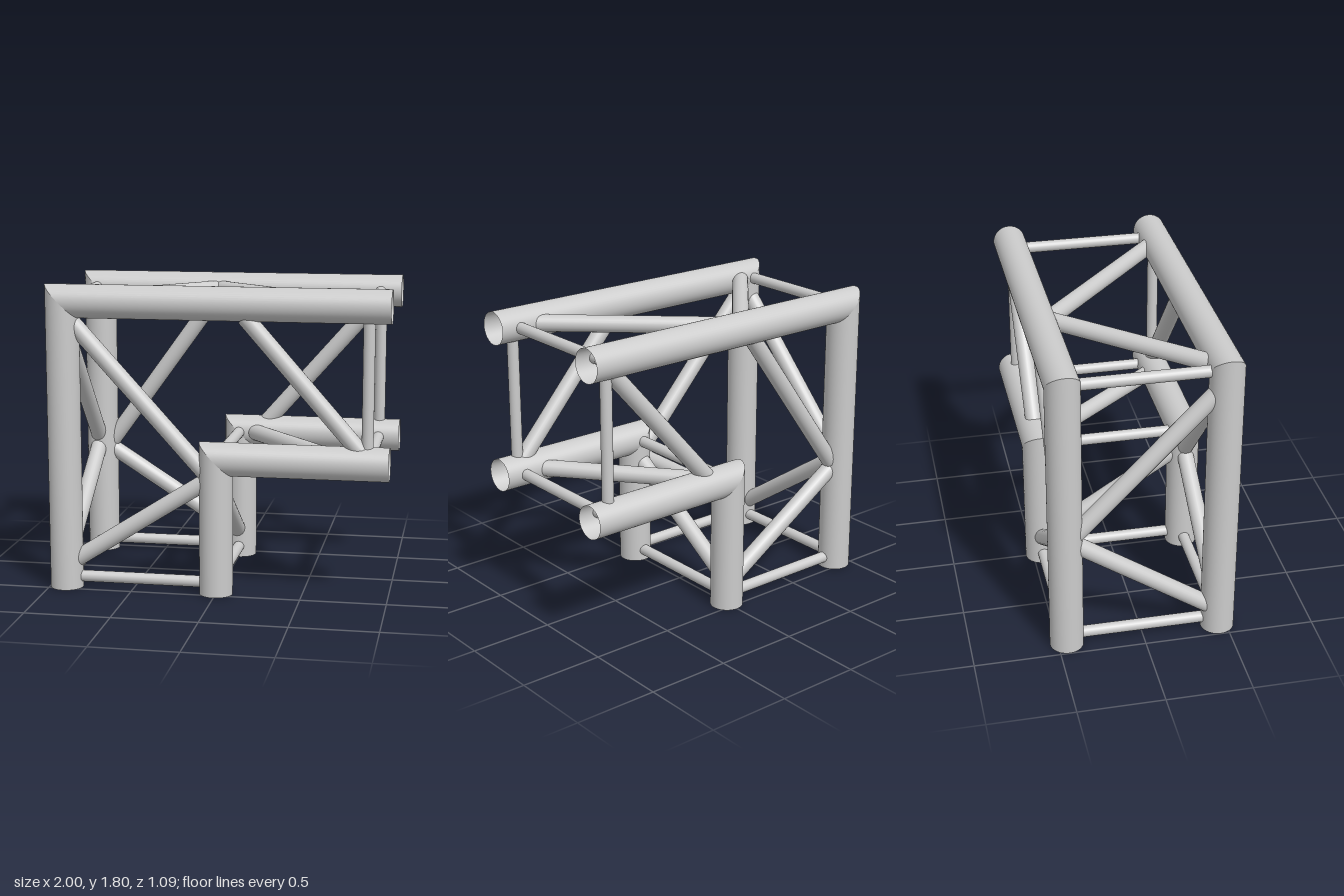
import * as THREE from 'three';

const R = 0.098, THIN = 0.034, THICK = 0.05; // chord, strut and diagonal radii
const Z = 0.448;                             // chord planes at +Z and -Z
const OUT = { x: -0.9, y: 1.704 }, INN = { x: 0, y: 0.806 }; // mitred corners
const END = 0.873, FOOT = 0.068;             // strut positions near the open ends

export function createModel() {
  const model = new THREE.Group();
  model.name = 'trussCorner';
  const mat = new THREE.MeshStandardMaterial({ color: 0xcccccc, side: THREE.DoubleSide });

  const add = (name, geo, parent = model) => {
    const mesh = new THREE.Mesh(geo, mat);
    mesh.name = name;
    parent.add(mesh);
    return mesh;
  };

  // Open pipe from y = 0 up to a 45 degree cut at y = length
  const mitredPipe = (length, slope) => {
    const geo = new THREE.CylinderGeometry(R, R, length, 48, 1, true).translate(0, length / 2, 0);
    const p = geo.attributes.position;
    for (let i = 0; i < p.count; i++) {
      if (p.getY(i) > length / 2) p.setY(i, length + slope * p.getX(i));
    }
    return geo;
  };

  // Two pipes meeting in a mitred elbow
  const elbow = (name, { x, y }, z) => {
    const g = new THREE.Group();
    g.name = name;
    g.position.z = z;
    add('uprightPipe', mitredPipe(y, -1), g).position.x = x;
    const level = add('levelPipe', mitredPipe(1 - x, 1), g);
    level.rotation.z = Math.PI / 2;
    level.position.set(1, y, 0);
    model.add(g);
  };

  // Round brace between two chord surfaces, running a little way into each
  const brace = (name, a, b, r) => {
    const p = new THREE.Vector3(...a), q = new THREE.Vector3(...b);
    const dir = q.clone().sub(p);
    const geo = new THREE.CylinderGeometry(r, r, dir.length() + 0.08, 24, 1, true);
    const mesh = add(name, geo);
    mesh.position.copy(p).add(q).multiplyScalar(0.5);
    mesh.quaternion.setFromUnitVectors(new THREE.Vector3(0, 1, 0), dir.normalize());
  };

  // Chords and straight struts of the front and back frames
  for (const z of [Z, -Z]) {
    elbow('outerChord', OUT, z);
    elbow('innerChord', INN, z);
    brace('footStrut', [-0.81, FOOT, z], [-0.09, FOOT, z], THIN);
    brace('endStrut', [END, 0.9, z], [END, 1.61, z], THIN);
  }

  // Struts joining front to back
  const crossPoints = [
    [OUT.x, OUT.y], [END, OUT.y], [INN.x, INN.y], [END, INN.y], [OUT.x, FOOT], [INN.x, FOOT],
  ];
  for (const [x, y] of crossPoints) brace('crossStrut', [x, y, -0.36], [x, y, 0.36], THIN);

  // Zigzag diagonals: the front and back frames lean opposite ways
  const diagonals = {
    frontDiagonal: [
      [[-0.81, 1.545, Z], [-0.09, 0.75, Z]],
      [[-0.81, 0.19, Z], [-0.09, 0.65, Z]],
      [[0.195, 1.6, Z], [0.81, 0.9, Z]],
    ],
    backDiagonal: [
      [[-0.81, 0.75, -Z], [-0.195, 1.6, -Z]],
      [[-0.81, 0.65, -Z], [-0.09, 0.19, -Z]],
      [[0.195, 0.9, -Z], [0.81, 1.6, -Z]],
    ],
    topDiagonal: [
      [[-0.79, OUT.y, 0.36], [-0.16, OUT.y, -0.36]],
      [[-0.09, OUT.y, -0.36], [0.71, OUT.y, 0.36]],
    ],
    outerSideDiagonal: [
      [[-0.91, 1.54, 0.36], [-0.91, 0.79, -0.36]],
      [[-0.91, 0.18, 0.36], [-0.91, 0.67, -0.36]],
    ],
    innerSideDiagonal: [[[-0.01, 0.65, 0.36], [-0.01, 0.19, -0.36]]],
    innerLevelDiagonal: [[[0.12, INN.y, -0.36], [0.71, INN.y, 0.36]]],
  };
  for (const [name, list] of Object.entries(diagonals)) {
    for (const [a, b] of list) brace(name, a, b, THICK);
  }
  return model;
}
